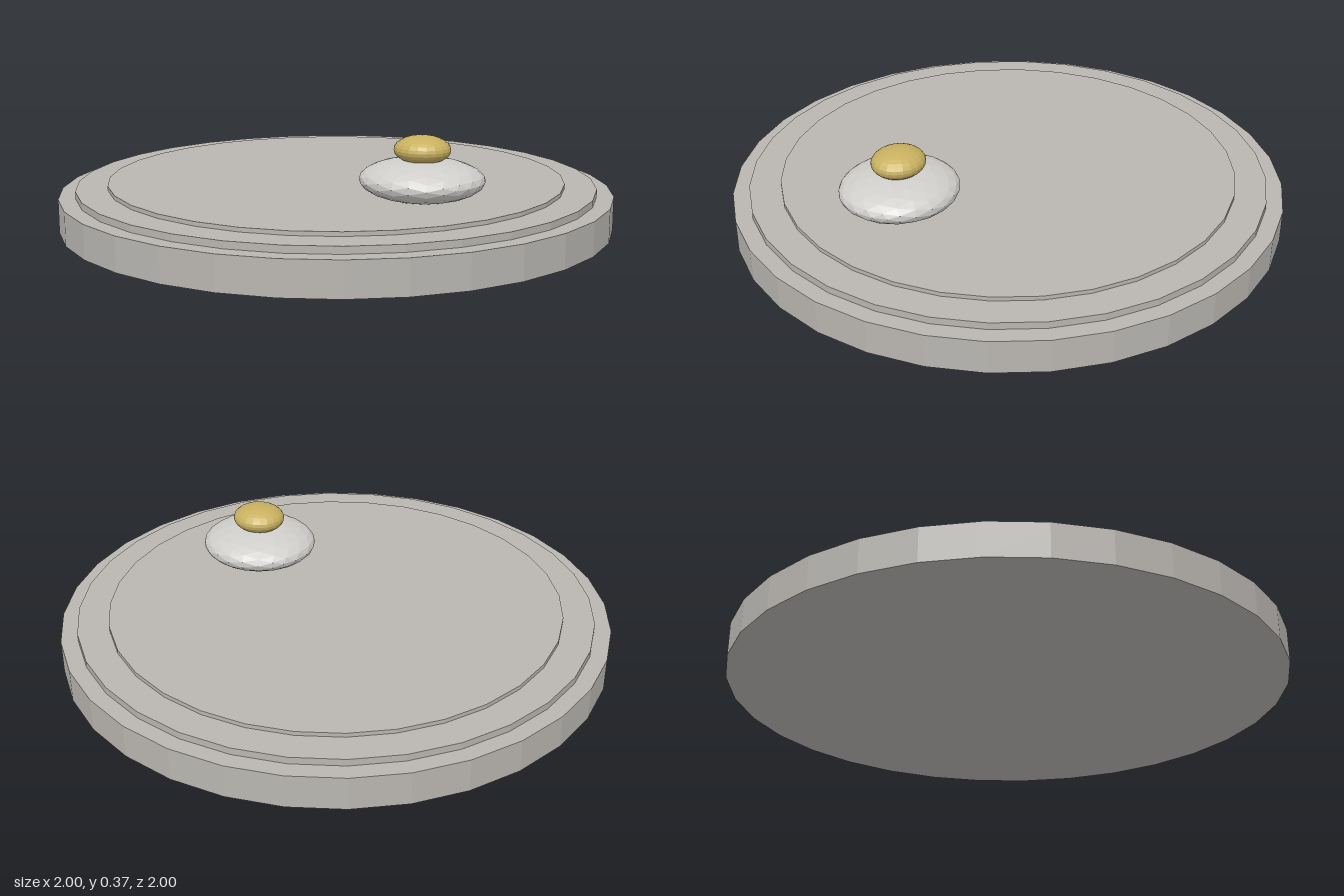
import * as THREE from 'three';

export function createModel() {
  const group = new THREE.Group();
  const mat = (name, color) => {
    const m = new THREE.MeshStandardMaterial({ color, flatShading: true });
    m.name = name;
    return m;
  };
  const stone = mat('warm grey stone', 0xb9b6b1);
  const pale = mat('pale grey pebble', 0xcfcecb);
  const gold = mat('muted gold', 0xc8b060);

  const add = (name, geometry, material, x, y, z) => {
    const mesh = new THREE.Mesh(geometry, material);
    mesh.name = name;
    mesh.position.set(x, y, z);
    group.add(mesh);
    return mesh;
  };

  // Stepped round plinth: [name, radius, bottom, top]
  const tiers = [
    ['baseDisc', 1, 0, 0.12],
    ['middleStep', 0.94, 0.12, 0.145],
    ['topPlate', 0.827, 0.145, 0.16],
  ];
  for (const [name, r, y0, y1] of tiers) {
    add(name, new THREE.CylinderGeometry(r, r, y1 - y0, 32), stone, 0, (y0 + y1) / 2, 0);
  }

  // Flattened faceted pebble, sunk slightly into the plate
  const pebble = add('pebble', new THREE.IcosahedronGeometry(1, 3), pale, 0.435, 0.222, 0.142);
  pebble.scale.set(0.217, 0.073, 0.208);

  // Small gold cap resting on the pebble
  const cap = add('goldCap', new THREE.SphereGeometry(1, 20, 14), gold, 0.435, 0.325, 0.142);
  cap.scale.set(0.099, 0.049, 0.093);

  return group;
}
